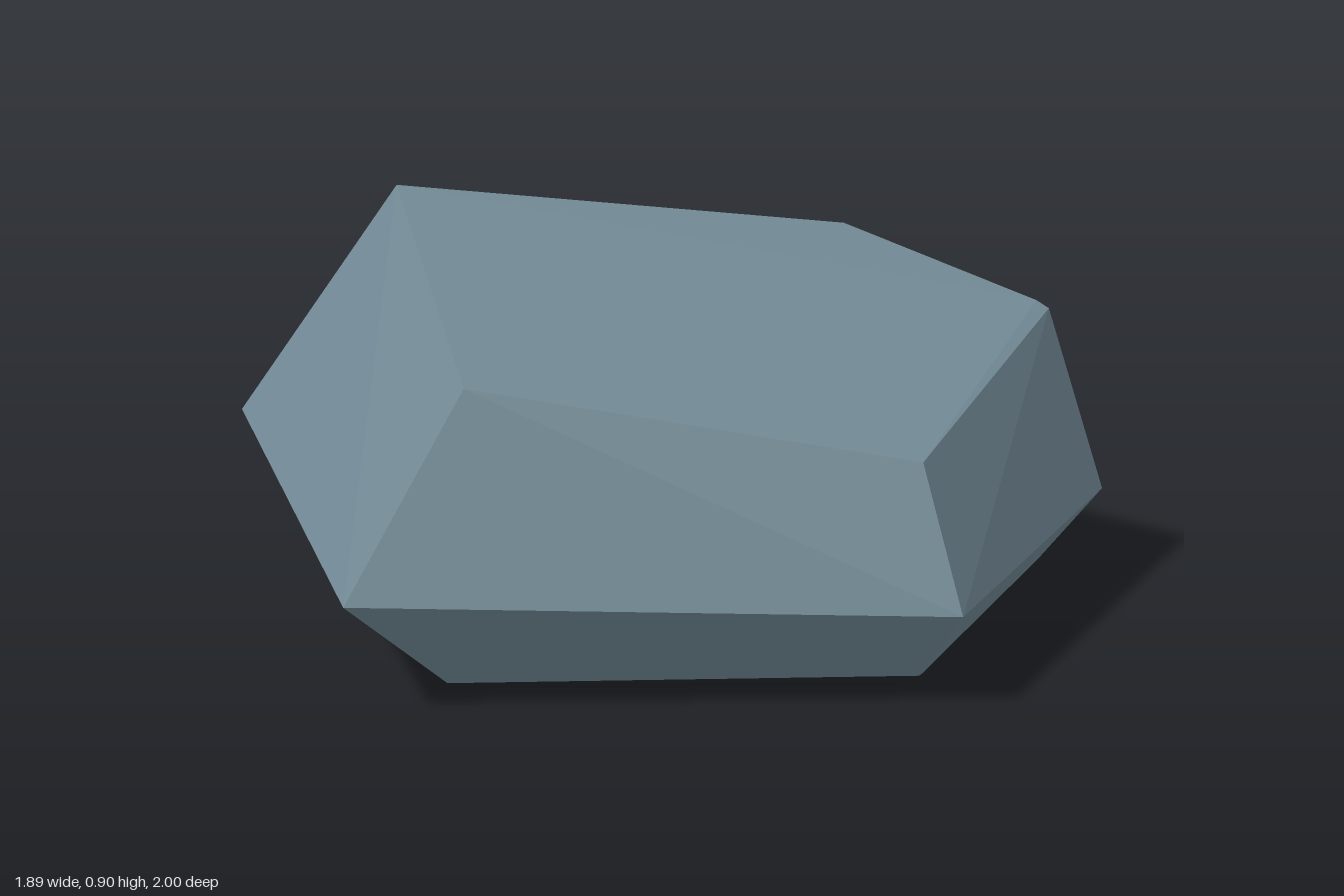
import * as THREE from 'three';
import { ConvexGeometry } from 'three/addons/geometries/ConvexGeometry.js';

// Corner rings of the boulder, listed around the outline
const crown = [[-0.57, 0.90, 0.36], [0.31, 0.63, 0.74], [0.81, 0.475, 0], [0.33, 0.625, -0.80], [0.30, 0.64, -0.79], [-0.20, 0.77, -0.64]];
const girdle = [[-0.95, 0.345, 0.57], [0.28, 0.23, 1.0], [0.945, 0.195, 0.01], [0.32, 0.175, -1.0], [-0.43, 0.27, -0.72]];
const base = [[-0.67, 0, 0.45], [0.23, 0.015, 0.74], [0.79, 0.03, -0.02], [0.30, 0.03, -0.82], [-0.27, 0.01, -0.61]];

export function createModel() {
  const group = new THREE.Group();
  group.name = 'rock';

  const stone = new THREE.MeshStandardMaterial({ color: 0x728a96 });
  stone.name = 'blue grey stone';

  // Faceted boulder: flat faces spanned between the three rings
  const corners = [...crown, ...girdle, ...base].map((p) => new THREE.Vector3(...p));
  const boulder = new THREE.Mesh(new ConvexGeometry(corners), stone);
  boulder.name = 'boulder';
  group.add(boulder);

  return group;
}
